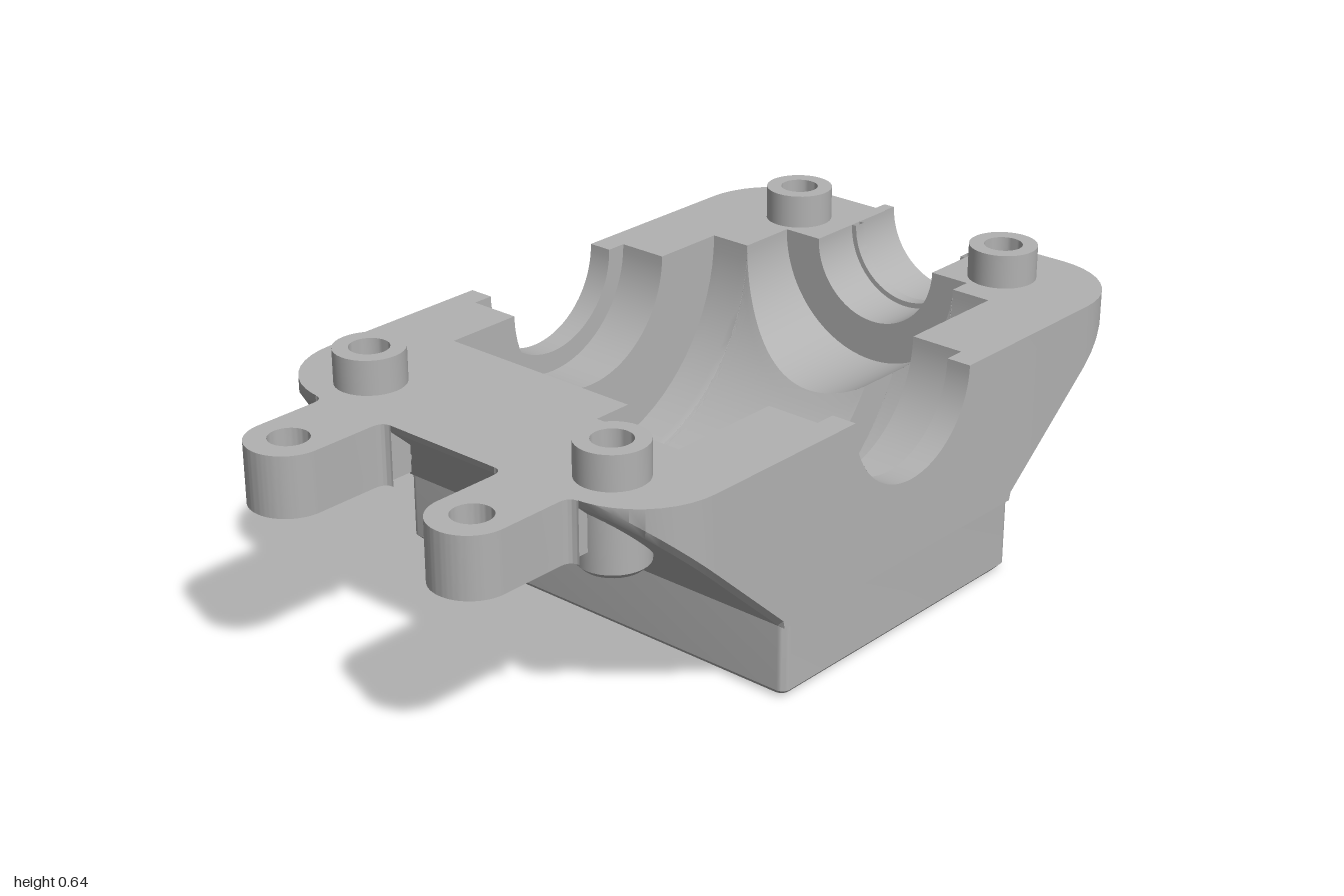
import * as THREE from 'three';
import { toCreasedNormals } from 'three/addons/utils/BufferGeometryUtils.js';

const TOP = 0.56, AXIS = -0.11, BORE = 0.27, W = 0.56;
const BACK = -0.965, FRONT = 0.73;
// half-round cavity, stepped along x: [x start, x end, radius]
const SLABS = [
  [-0.56, -0.5, 0.2], [-0.5, -0.375, 0.25], [-0.375, 0.145, 0.44],
  [0.145, 0.37, 0.535], [0.37, 0.5, 0.25], [0.5, 0.56, 0.2],
];
const SLOT = { x0: 0.145, x1: 0.37, h: 0.08, r: 0.05 };
const range = (n, f) => Array.from({ length: n + 1 }, (_, i) => f(i / n));

export function createModel() {
  const group = new THREE.Group();
  const metal = new THREE.MeshStandardMaterial({ color: 0xb2b2b2 });
  metal.side = THREE.DoubleSide;

  const add = (name, geo, x = 0, y = 0, z = 0) => {
    const m = new THREE.Mesh(geo, metal);
    m.name = name;
    m.position.set(x, y, z);
    group.add(m);
    return m;
  };

  // surface through rows of [x, y, z] points
  const loft = (name, rows) => {
    const n = rows[0].length, index = [];
    for (let i = 0; i < rows.length - 1; i++)
      for (let j = 0; j < n - 1; j++) {
        const a = i * n + j, b = a + n;
        index.push(a, b, a + 1, a + 1, b, b + 1);
      }
    const g = new THREE.BufferGeometry();
    g.setAttribute('position', new THREE.Float32BufferAttribute(rows.flat(2), 3));
    g.setIndex(index);
    add(name, toCreasedNormals(g, 0.6));
  };

  // face from [x, z] points, its height given by a rule on z
  const face = (name, pts, height, holes = []) => {
    const s = new THREE.Shape(pts.map(([x, z]) => new THREE.Vector2(x, -z)));
    for (const h of holes) s.holes.push(new THREE.Path(h.map(([x, z]) => new THREE.Vector2(x, -z))));
    const g = new THREE.ShapeGeometry(s).rotateX(-Math.PI / 2);
    const p = g.attributes.position;
    for (let i = 0; i < p.count; i++) p.setY(i, height(p.getZ(i)));
    g.computeVertexNormals();
    add(name, g);
  };

  const circle = (x, z, r) => range(24, t => [x + r * Math.cos(t * 2 * Math.PI), z + r * Math.sin(t * 2 * Math.PI)]).slice(0, 24);
  const arc = (cx, cz, r, a0, a1, n = 10) => range(n, t => {
    const a = (a0 + (a1 - a0) * t) * Math.PI / 2;
    return [cx + r * Math.cos(a), cz + r * Math.sin(a)];
  });
  const roundRect = (x0, x1, z0, z1, r, n = 6) => [
    ...arc(x0 + r, z0 + r, r, 2, 3, n), ...arc(x1 - r, z0 + r, r, 3, 4, n),
    ...arc(x1 - r, z1 - r, r, 0, 1, n), ...arc(x0 + r, z1 - r, r, 1, 2, n)];
  const mirror = pts => pts.map(([x, z]) => [-x, z]);

  // ---- outer body ----
  const slope = z => Math.min(TOP, z > 0.31 ? 0.17 + (z - 0.31) / 0.425 * 0.385
    : z < -0.49 ? 0.17 + (-0.49 - z) / 0.475 * 0.385 : 0.17);
  const inBase = z => z > -0.4901 && z < 0.3101;
  // half of the plan outline, moved inwards by d
  const halfOutline = d => [
    [0.2, BACK + d],
    ...arc(0.36, BACK + 0.2, 0.2 - d, -1, 0),
    [W - d, -0.495], [W, -0.49],
    ...range(32, t => [W, AXIS - 0.2 * Math.cos(t * Math.PI)]),
    [W, 0.31], [W - d, 0.315],
    ...arc(0.36, FRONT - 0.2, 0.2 - d, 0, 1),
    [0, FRONT - d],
  ];
  const outline = d => { const h = halfOutline(d); return [...h, ...mirror(h).reverse()]; };
  const outer = outline(0), inner = outline(0.015);
  const rim = z => TOP - Math.sqrt(Math.max(0, 0.04 - (z - AXIS) ** 2));
  loft('bodyWall', [
    outer.map(([x, z]) => [x, rim(z), z]),
    outer.map(([x, z]) => [x, inBase(z) ? 0.17 : Math.min(TOP, slope(z) + 0.015), z]),
    inner.map(([x, z]) => [x, slope(z), z]),
  ]);
  face('frontSlope', inner.filter(p => p[1] > 0.3099), slope);
  const backHalf = inner.filter(([x, z]) => x > 0 && z < -0.4899);
  face('backSlope', [...backHalf, ...mirror(backHalf).reverse(), [-0.2, -0.636], [0.2, -0.636]], slope);

  // ---- base block with slot and screw holes ----
  const ring = d => { const p = roundRect(-W + d, W - d, -0.49 + d, 0.31 - d, 0.02); return [...p, p[0]]; };
  const lift = (pts, y) => pts.map(([x, z]) => [x, y, z]);
  loft('baseWall', [lift(ring(0), 0.17), lift(ring(0), 0.016), lift(ring(0.015), 0)]);
  const slot = roundRect(SLOT.x0, SLOT.x1, AXIS - SLOT.h, AXIS + SLOT.h, SLOT.r);
  const screws = [[0.46, 0.22], [-0.46, 0.22], [0.46, -0.4], [-0.46, -0.4]];
  face('baseBottom', ring(0.015).slice(0, -1), () => 0, [slot, ...screws.map(([x, z]) => circle(x, z, 0.04))]);
  loft('slotWall', [lift([...slot, slot[0]], 0), lift([...slot, slot[0]], 0.028)]);
  for (const [x, z] of screws) {
    const hole = [[0.04, 0], [0.04, 0.15], [0, 0.15]].map(p => new THREE.Vector2(...p));
    add('screwHole', toCreasedNormals(new THREE.LatheGeometry(hole, 24), 0.6), x, 0, z);
  }

  // ---- top face, in three pieces around the cavity ----
  const pegs = [[0.35, 0.6], [-0.35, 0.6], [0.305, -0.79], [-0.305, -0.79]];
  const pegHole = i => circle(...pegs[i], 0.045);
  const flat = () => TOP;
  face('frontTop', [...outer.filter(p => p[1] > 0.0899),
    [-0.5, 0.09], [-0.5, 0.14], [-0.375, 0.14], [-0.375, 0.33], [0.145, 0.33], [0.145, 0.425],
    [0.37, 0.425], [0.37, 0.14], [0.5, 0.14], [0.5, 0.09]], flat, [pegHole(0), pegHole(1)]);
  const backOuter = outer.filter(([x, z]) => x > 0 && z < -0.3099);
  const backTop = (x, z) => [...backOuter, [0.5, -0.31], [0.5, -0.36], [x, -0.36], [x, z],
    [BORE, z], [BORE, -0.7], [0.17, -0.7], [0.17, BACK]];
  face('backLeftTop', backTop(0.37, -0.645), flat, [pegHole(2)]);
  face('backRightTop', mirror(backTop(0.375, -0.55)), flat, [pegHole(3)]);

  // ---- main cavity, opened at the back by the shaft bore ----
  const boreDepth = x => Math.sqrt(Math.max(0, BORE * BORE - x * x));
  const startAngle = (x, r) => Math.asin(Math.min(1, boreDepth(x) / r));
  const onArc = (x, r, a) => [x, TOP - r * Math.sin(a), AXIS - r * Math.cos(a)];
  const sweep = (x, r, a0, a1) => range(36, t => onArc(x, r, a0 + (a1 - a0) * t));
  const slotHalf = x => {
    const e = Math.max(0, SLOT.r - Math.min(x - SLOT.x0, SLOT.x1 - x));
    return SLOT.h - SLOT.r + Math.sqrt(Math.max(0, SLOT.r ** 2 - e * e));
  };
  for (const [a, b, r] of SLABS) {
    const extra = [...range(48, t => -BORE * Math.cos(t * Math.PI)), ...range(24, t => a + (b - a) * t)];
    const xs = [a, b, ...extra.filter(x => x > a + 1e-4 && x < b - 1e-4)].sort((p, q) => p - q);
    if (a === SLOT.x0) {
      const gap = x => Math.asin(slotHalf(x) / r);
      loft('cavityBack', xs.map(x => sweep(x, r, startAngle(x, r), Math.PI / 2 - gap(x))));
      loft('cavityFront', xs.map(x => sweep(x, r, Math.PI / 2 + gap(x), Math.PI)));
    } else loft('cavity', xs.map(x => sweep(x, r, startAngle(x, r), Math.PI)));
  }
  for (let i = 1; i < SLABS.length; i++) {
    const x = SLABS[i][0];
    loft('cavityStep', [SLABS[i - 1][2], SLABS[i][2]].map(r => sweep(x, r, startAngle(x, r), Math.PI)));
  }

  // ---- shaft bore, running back along z ----
  const edge = Math.acos(0.145 / BORE);
  const angles = [...range(48, t => t * Math.PI), edge - 1e-4, edge + 1e-4].sort((p, q) => p - q);
  const boreRow = (r, zAt) => angles.map(a => [r * Math.cos(a), TOP - r * Math.sin(a), zAt(a)]);
  const meet = a => AXIS - Math.sqrt((BORE * Math.cos(a) > 0.145 ? 0.535 : 0.44) ** 2 - (BORE * Math.sin(a)) ** 2);
  const profile = [[-1, 0.17], [-0.86, 0.17], [-0.86, 0.157], [-0.83, 0.157], [-0.83, 0.17], [-0.7, 0.17], [-0.7, BORE]];
  loft('shaftBore', [...profile.map(([z, r]) => boreRow(r, () => z)), boreRow(BORE, meet)]);

  // ---- bearing housings under the bore ----
  const cradle = (name, w, bottom, top, r, z0, z1) => {
    const c = 0.015, a = Math.asin((TOP - top) / r), s = new THREE.Shape();
    s.moveTo(-w, top);
    s.lineTo(-w, bottom + c);
    s.lineTo(-w + c, bottom);
    s.lineTo(w - c, bottom);
    s.lineTo(w, bottom + c);
    s.lineTo(w, top);
    s.absarc(0, TOP, r, -a, a - Math.PI, true);
    const g = new THREE.ExtrudeGeometry(s, { depth: z1 - z0, bevelEnabled: false, curveSegments: 32 });
    add(name, toCreasedNormals(g, 0.6), 0, 0, z0);
  };
  cradle('shaftTab', 0.2, 0.355, TOP, 0.172, -1, -0.7);
  cradle('bearingHousing', 0.31, 0.25, 0.5, 0.273, -0.745, -0.66);
  add('housingFloor', new THREE.BoxGeometry(0.6, 0.037, 0.14), 0, 0.2695, -0.66);

  // ---- hollow locating pegs ----
  const pegProfile = [[0.045, 0.365], [0.068, 0.365], [0.08, 0.377], [0.08, 0.64], [0.045, 0.64], [0.045, 0.365]]
    .map(p => new THREE.Vector2(...p));
  for (const [x, z] of pegs)
    add('locatingPeg', toCreasedNormals(new THREE.LatheGeometry(pegProfile, 32), 0.6), x, 0, z);

  // ---- front mounting lugs ----
  const lug = new THREE.Shape();
  lug.moveTo(-0.09, -0.655);
  lug.lineTo(-0.09, -0.72);
  lug.lineTo(-0.115, -FRONT);
  lug.quadraticCurveTo(-0.09, -FRONT, -0.09, -0.76);
  lug.lineTo(-0.09, -0.91);
  lug.absarc(0, -0.91, 0.09, Math.PI, 2 * Math.PI, false);
  lug.lineTo(0.09, -0.76);
  lug.quadraticCurveTo(0.09, -FRONT, 0.115, -FRONT);
  lug.lineTo(0.09, -0.72);
  lug.lineTo(0.09, -0.655);
  const eye = new THREE.Path();
  eye.absarc(0, -0.905, 0.045, 0, 2 * Math.PI, true);
  lug.holes.push(eye);
  const lugGeo = toCreasedNormals(
    new THREE.ExtrudeGeometry(lug, { depth: 0.14, bevelEnabled: false, curveSegments: 24 }), 0.6).rotateX(-Math.PI / 2);
  for (const s of [-1, 1]) add('mountingLug', lugGeo, s * 0.265, 0.42, 0);

  return group;
}
